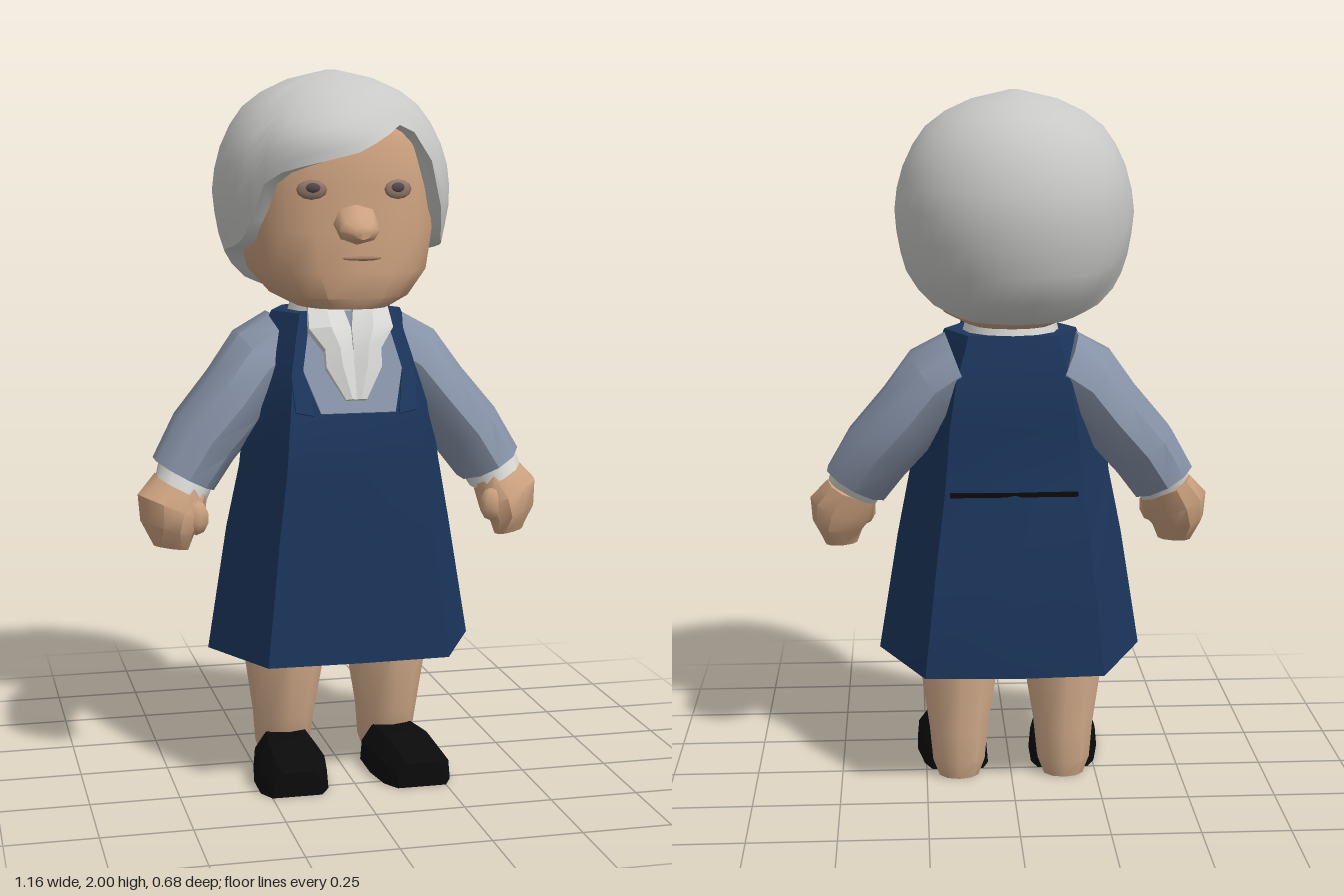
import * as THREE from 'three';
import { toCreasedNormals } from 'three/addons/utils/BufferGeometryUtils.js';

const mat = (name, color, double) => {
  const m = new THREE.MeshStandardMaterial({ color });
  m.name = name;
  if (double) m.side = THREE.DoubleSide;
  return m;
};

// Joins rings of [x, y, z] points into a skin; mirror flips it across x.
function loft(rings, { mirror = false, start = true, end = true, crease = 0.7 } = {}) {
  const rs = mirror ? rings.map(r => r.map(([x, y, z]) => [-x, y, z]).reverse()) : rings;
  const n = rs[0].length, pos = rs.flat(2), idx = [];
  for (let i = 0; i < rs.length - 1; i++) {
    for (let j = 0; j < n; j++) {
      const k = (j + 1) % n, a = i * n + j, b = i * n + k;
      idx.push(a, b, b + n, a, b + n, a + n);
    }
  }
  const cap = (i, flip) => {
    const c = pos.length / 3;
    for (let q = 0; q < 3; q++) pos.push(rs[i].reduce((s, p) => s + p[q], 0) / n);
    for (let j = 0; j < n; j++) {
      const a = i * n + j, b = i * n + (j + 1) % n;
      flip ? idx.push(c, b, a) : idx.push(c, a, b);
    }
  };
  if (start) cap(0, true);
  if (end) cap(rs.length - 1, false);
  const g = new THREE.BufferGeometry();
  g.setAttribute('position', new THREE.Float32BufferAttribute(pos, 3));
  g.setIndex(idx);
  return toCreasedNormals(g, crease);
}

// Rounded ring around centre c, spanned by u and v; a higher power is squarer.
function ring(c, u, v, n = 12, power = 2) {
  const e = 2 / power, f = s => Math.sign(s) * Math.abs(s) ** e;
  return Array.from({ length: n }, (_, i) => {
    const t = i / n * Math.PI * 2, s = f(Math.sin(t)), k = f(Math.cos(t));
    return c.map((p, q) => p + u[q] * s + v[q] * k);
  });
}

// Piecewise linear lookup in [key, value] pairs
function lookup(table, x) {
  for (let i = 1; i < table.length; i++) {
    const [a, va] = table[i - 1], [b, vb] = table[i];
    if (x <= b) return va + (vb - va) * (x - a) / (b - a);
  }
  return table[table.length - 1][1];
}

export function createModel() {
  const model = new THREE.Group();
  const skin = mat('face skin', 0xcca17f), legSkin = mat('leg skin', 0xd3ac8b);
  const hairMat = mat('hair', 0xc8c8c6, true), navy = mat('navy cloth', 0x1c365d, true);
  const blue = mat('sleeve cloth', 0x8793a8, true), white = mat('white cloth', 0xd8d8d6, true);
  const black = mat('black', 0x0b0b0c), socket = mat('eye shade', 0x94796a);
  const dark = mat('pupil', 0x55494a), lip = mat('lip', 0xa57d63);
  const add = (name, geo, m, parent = model) => {
    const mesh = new THREE.Mesh(geo, m);
    mesh.name = name;
    parent.add(mesh);
    return mesh;
  };

  // Flared pinafore: height, half width, front z, back z
  const outline = [[0, 1], [0.67, 0.98], [1, 0.1], [0.66, -0.95], [0, -1], [-0.66, -0.95], [-1, 0.1], [-0.67, 0.98]];
  const dress = [
    [0.37, 0.385, 0.312, -0.26], [0.72, 0.328, 0.288, -0.248], [0.9, 0.292, 0.274, -0.2],
    [1.07, 0.272, 0.26, -0.198], [1.2, 0.243, 0.2, -0.188], [1.33, 0.188, 0.145, -0.15],
  ].map(([y, w, f, b]) => outline.map(([x, z]) => [x * w, y, (f + b) / 2 + z * (f - b) / 2]));
  add('dress', loft(dress, { start: false, crease: 0.5 }), navy);
  add('backBelt', new THREE.BoxGeometry(0.36, 0.013, 0.008).translate(0, 0.89, -0.199), black);

  // Blouse front, ruffle and straps, lying on the sloping chest
  const chest = new THREE.Group();
  chest.name = 'blouseFront';
  chest.position.set(0, 1.07, 0.262);
  chest.rotation.x = -0.41;
  model.add(chest);
  const plate = (pts, depth) => new THREE.ExtrudeGeometry(
    new THREE.Shape(pts.map(p => new THREE.Vector2(...p))), { depth, bevelEnabled: false });
  add('blousePanel', plate([[-0.1, -0.005], [0.11, -0.005], [0.14, 0.12], [0.12, 0.29], [-0.12, 0.29], [-0.14, 0.12]], 0.006), blue, chest);
  for (const s of [-1, 1]) {
    // Ruffle half: a narrow frill below a wide collar wing
    add('ruffle', loft([
      ring([0.012, 0.03, 0.01], [0.02, 0, 0], [0, 0, 0.012], 6),
      ring([0.035, 0.12, 0.015], [0.05, 0, 0], [0, 0, 0.026], 6),
      ring([0.04, 0.17, 0.02], [0.045, 0, 0], [0, 0, 0.03], 6),
      ring([0.06, 0.23, 0.02], [0.068, 0, 0], [0, 0, 0.03], 6),
      ring([0.065, 0.31, 0.005], [0.055, 0, 0], [0, 0, 0.02], 6),
    ], { mirror: s < 0, crease: 0.4 }), white, chest);
    const strap = plate([[0.12, -0.01], [0.17, 0], [0.175, 0.1], [0.155, 0.2], [0.135, 0.29], [0.105, 0.29], [0.14, 0.12]]
      .map(([x, y]) => [s * x, y]), 0.007);
    add('strap', strap, navy, chest);
  }
  add('collar', new THREE.CylinderGeometry(0.125, 0.14, 0.06, 12, 1, true).translate(0, 1.345, -0.01), white);

  for (const mirror of [false, true]) {
    const side = mirror ? 'right' : 'left';
    // Arm rings, lowest first: centre, slant of the ring, half sizes
    const limb = (list, lean = 0, power = 2) => list.map(([x, y, z, a, w, d]) =>
      ring([x, y, z], [Math.cos(a) * w, Math.sin(a) * w, 0], [-lean, 0, d], 10, power));
    add(side + 'Sleeve', loft(limb([
      [0.448, 0.875, 0.035, 0.5, 0.097, 0.12], [0.385, 0.975, 0.01, 0.68, 0.105, 0.145],
      [0.295, 1.08, -0.005, 0.85, 0.108, 0.162], [0.22, 1.175, -0.02, 0.95, 0.118, 0.157],
      [0.145, 1.225, -0.035, 1.15, 0.11, 0.14],
    ]), { mirror }), blue);
    add(side + 'Cuff', loft(limb([
      [0.46, 0.843, 0.075, 0.48, 0.08, 0.085], [0.44, 0.89, 0.05, 0.48, 0.085, 0.095],
    ]), { mirror }), white);
    add(side + 'Hand', loft(limb([
      [0.495, 0.68, 0.105, 0.1, 0.042, 0.045], [0.505, 0.735, 0.1, 0.3, 0.072, 0.085],
      [0.492, 0.79, 0.092, 0.42, 0.096, 0.092], [0.46, 0.85, 0.07, 0.48, 0.076, 0.078],
    ], 0.025, 1.8), { mirror }), skin);
    const thumb = add(side + 'Thumb', new THREE.SphereGeometry(1, 7, 5), skin);
    thumb.scale.set(0.038, 0.05, 0.028);
    thumb.position.set(mirror ? -0.43 : 0.43, 0.77, 0.148);

    // Leg: height, centre x, half width, centre z, half depth
    add(side + 'Leg', loft([
      [0, 0.155, 0.06, -0.03, 0.05], [0.05, 0.155, 0.08, -0.02, 0.078],
      [0.15, 0.155, 0.09, -0.005, 0.095], [0.38, 0.152, 0.126, 0, 0.138], [0.7, 0.15, 0.12, 0, 0.14],
    ].map(([y, x, w, z, d]) => ring([x, y, z], [w, 0, 0], [0, 0, d], 10)), { mirror }), legSkin);

    // Shoe from toe to heel: z, centre x, half width, height
    add(side + 'Shoe', loft([
      [0.317, 0.18, 0.07, 0.07], [0.27, 0.178, 0.097, 0.1], [0.17, 0.17, 0.105, 0.11],
      [0.05, 0.16, 0.095, 0.105], [0.0, 0.157, 0.075, 0.06],
    ].map(([z, x, w, h]) => [[0.6, 1], [0.95, 0.55], [1, 0], [-1, 0], [-0.95, 0.55], [-0.6, 1]]
      .map(([px, py]) => [x + px * w, py * h, z])), { mirror, crease: 0.5 }), black);
  }

  // Head: height, half width, front z, back z
  add('head', loft([
    [1.35, 0.13, 0.25, -0.15], [1.38, 0.19, 0.268, -0.19], [1.45, 0.25, 0.27, -0.235], [1.56, 0.272, 0.265, -0.26],
    [1.68, 0.27, 0.258, -0.26], [1.8, 0.25, 0.25, -0.24], [1.87, 0.19, 0.22, -0.18], [1.93, 0.1, 0.12, -0.1],
  ].map(([y, w, f, b]) => ring([0, y, (f + b) / 2], [w, 0, 0], [0, 0, (f - b) / 2], 18, 2.4))), skin);
  add('nose', loft([
    ring([0, 1.562, 0.338], [0.025, 0, 0], [0, 0.018, 0], 8),
    ring([0, 1.565, 0.3], [0.055, 0, 0], [0, 0.033, 0], 8),
    ring([0, 1.585, 0.25], [0.065, 0, 0], [0, 0.06, 0], 8),
  ], { crease: 1.2 }), skin);
  const blob = (name, m, p, s, ry = 0) => {
    const mesh = add(name, new THREE.SphereGeometry(1, 10, 6), m);
    mesh.position.set(...p);
    mesh.scale.set(...s);
    mesh.rotation.y = ry;
  };
  for (const s of [-1, 1]) {
    blob('eyeSocket', socket, [s * 0.12, 1.675, 0.242], [0.042, 0.027, 0.01], s * 0.25);
    blob('pupil', dark, [s * 0.118, 1.68, 0.248], [0.022, 0.014, 0.009], s * 0.25);
  }
  blob('mouth', lip, [0.015, 1.49, 0.264], [0.055, 0.007, 0.008]);

  // Hair: a rounded shell whose lower edge follows the hairline around the head
  const hairline = [[-180, 1.37], [-140, 1.375], [-114, 1.42], [-102, 1.49], [-68, 1.52], [-56, 1.56], [-48, 1.68],
    [-35, 1.725], [0, 1.775], [20, 1.83], [32, 1.86], [42, 1.78], [50, 1.7], [57, 1.56], [68, 1.52], [102, 1.49],
    [114, 1.42], [140, 1.375], [180, 1.37]];
  const swell = [[1.36, 0.57], [1.43, 0.81], [1.52, 0.93], [1.65, 1], [1.75, 0.965], [1.83, 0.88],
    [1.9, 0.735], [1.95, 0.54], [1.98, 0.32], [2, 0.04]];
  const hairRow = (f, shrink = 1) => Array.from({ length: 40 }, (_, i) => {
    const deg = i * 9 > 180 ? i * 9 - 360 : i * 9, a = deg * Math.PI / 180;
    const low = lookup(hairline, deg), y = low + (2 - low) * f, r = lookup(swell, y) * shrink;
    const fringe = Math.max(0, Math.cos(a + 0.4)) ** 3 * 0.045 * Math.max(0, 1 - Math.abs(y - 1.81) / 0.15);
    return [-0.01 + Math.sin(a) * (r * 0.338 + fringe * 0.5), y, -0.008 + Math.cos(a) * (r * 0.335 + fringe)];
  });
  const rows = [0, 0.1, 0.22, 0.34, 0.46, 0.58, 0.7, 0.8, 0.88, 0.95, 1].map(f => hairRow(f));
  add('hair', loft([hairRow(0, 0.75), ...rows], { start: false, crease: 0.8 }), hairMat);

  return model;
}
